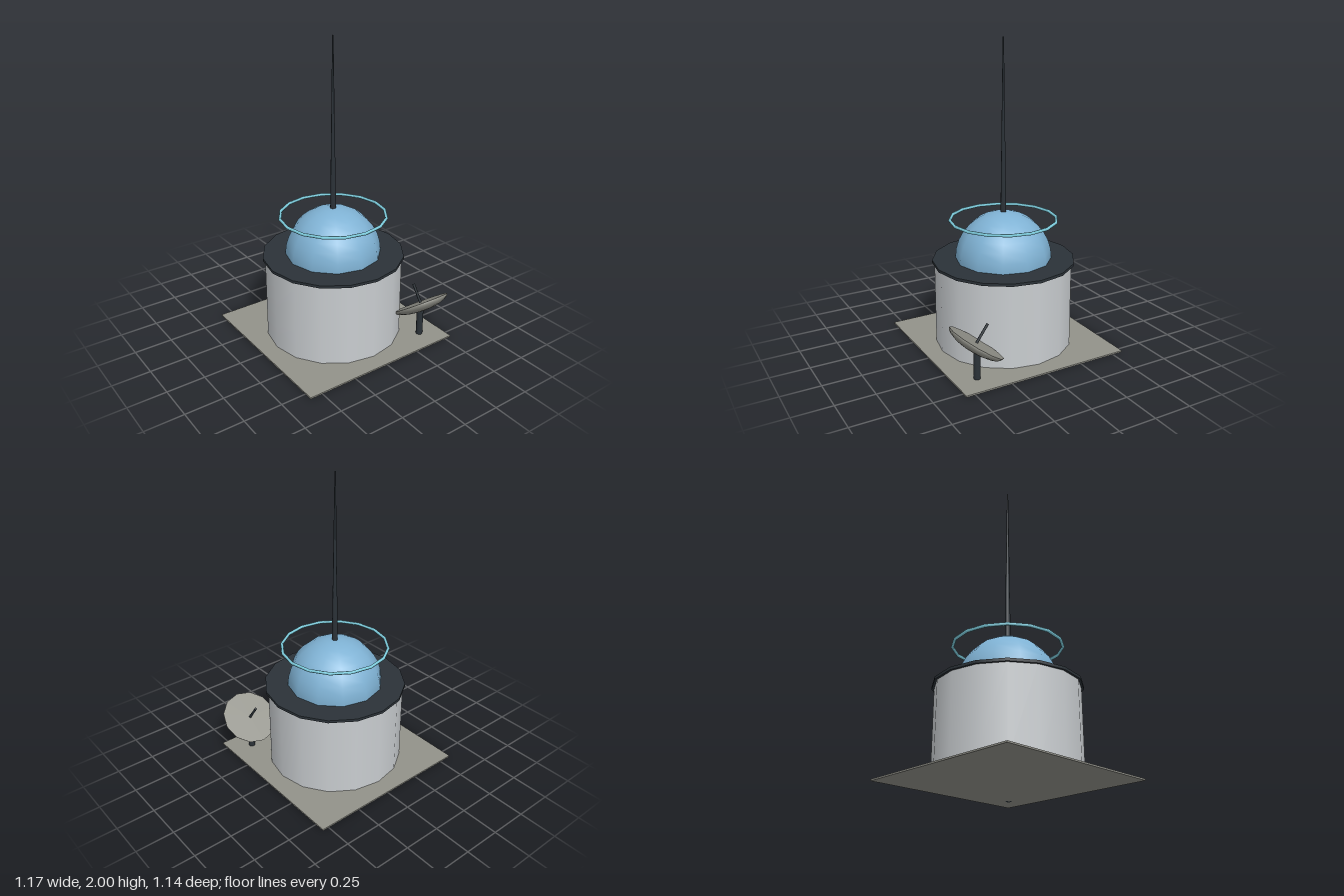
import * as THREE from 'three';

const CX = -0.02, CZ = -0.006; // axis shared by the building parts

function material(name, color, side = THREE.FrontSide) {
  const m = new THREE.MeshStandardMaterial({ color, side });
  m.name = name;
  return m;
}

function add(parent, name, geometry, mat, x, y, z) {
  const mesh = new THREE.Mesh(geometry, mat);
  mesh.name = name;
  mesh.position.set(x, y, z);
  parent.add(mesh);
  return mesh;
}

export function createModel() {
  const model = new THREE.Group();
  model.name = 'observatory';

  const stone = material('stone grey', 0x92928a);
  const wall = material('pale wall', 0xc9cdd0);
  const dark = material('dark metal', 0x2b3238);
  const blue = material('dome blue', 0x7fb2d4);
  const cyan = material('ring cyan', 0x7fcfe0);

  // Ground slab and drum-shaped building
  add(model, 'base', new THREE.BoxGeometry(1.13, 0.01, 1.13), stone, CX, 0.005, CZ);
  add(model, 'drum', new THREE.CylinderGeometry(0.452, 0.452, 0.556, 16), wall, CX, 0.286, CZ);
  add(model, 'roofRim', new THREE.CylinderGeometry(0.467, 0.467, 0.018, 16), dark, CX, 0.57, CZ);

  // Dome, halo ring and mast
  add(model, 'dome', new THREE.SphereGeometry(0.315, 12, 8, 0, Math.PI * 2, 0, Math.PI / 2), blue, CX, 0.579, CZ);
  const ring = add(model, 'haloRing', new THREE.TorusGeometry(0.347, 0.01, 6, 16), cyan, CX, 0.843, CZ);
  ring.rotation.x = Math.PI / 2;
  add(model, 'mast', new THREE.CylinderGeometry(0.004, 0.019, 1.12, 8), dark, CX, 1.44, CZ);

  // Dish antenna on its post, tipped towards the back
  add(model, 'dishPost', new THREE.CylinderGeometry(0.022, 0.022, 0.2, 8), dark, 0.395, 0.1, 0.412);
  const dish = new THREE.Group();
  dish.name = 'dish';
  dish.position.set(0.395, 0.247, 0.412);
  dish.rotation.x = -0.62;
  const bowl = new THREE.SphereGeometry(0.19, 12, 6, 0, Math.PI * 2, Math.PI / 2, Math.PI / 2);
  bowl.scale(1, 0.3, 1);
  add(dish, 'dishBowl', bowl, stone, 0, 0, 0);
  const face = add(dish, 'dishFace', new THREE.CircleGeometry(0.19, 12), stone, 0, 0, 0);
  face.rotation.x = -Math.PI / 2;
  add(dish, 'dishFeed', new THREE.CylinderGeometry(0.009, 0.009, 0.13, 6), dark, 0, 0.065, 0);
  model.add(dish);

  return model;
}
